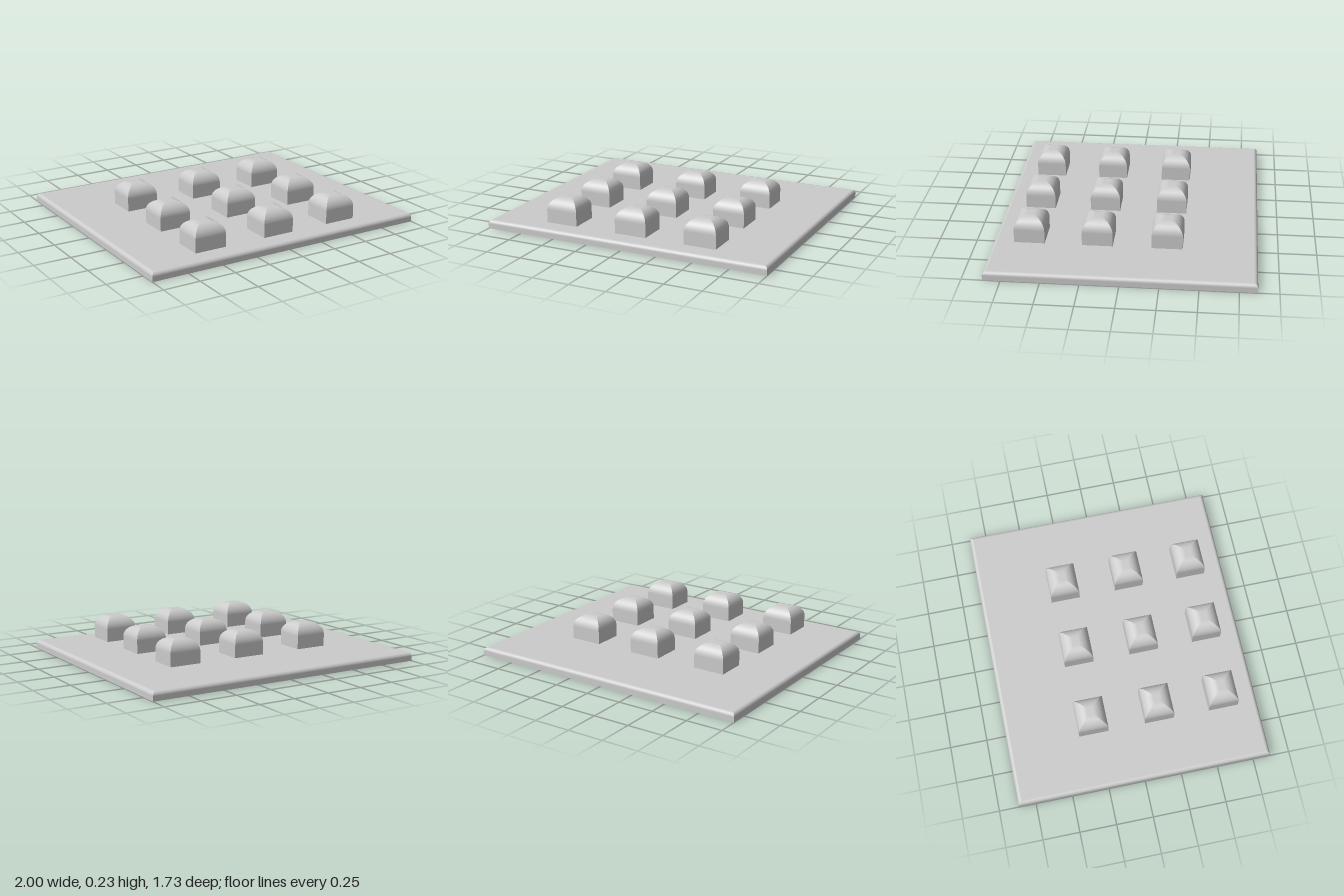
import * as THREE from 'three';

const STEPS = 8;

// Box with a rounded top rim and sharp mitred corners, standing on y = 0.
function paddedBox(width, height, depth, radius) {
  // Profile of one side: [inset, y, angle of the normal]
  const profile = [[0, 0, 0]];
  for (let i = 0; i <= STEPS; i++) {
    const a = (i / STEPS) * Math.PI / 2;
    profile.push([radius * (1 - Math.cos(a)), height - radius * (1 - Math.sin(a)), a]);
  }
  const pos = [], nor = [], idx = [];
  const corners = [[1, 1], [1, -1], [-1, -1], [-1, 1]];
  const corner = (k, inset, y) => [
    corners[k % 4][0] * (width / 2 - inset), y, corners[k % 4][1] * (depth / 2 - inset)];

  // Four sides, each with its own smooth normals
  for (let s = 0; s < 4; s++) {
    const nx = [1, 0, -1, 0][s], nz = [0, -1, 0, 1][s];
    const start = pos.length / 3;
    profile.forEach(([inset, y, a], i) => {
      for (const k of [s, s + 1]) {
        pos.push(...corner(k, inset, y));
        nor.push(nx * Math.cos(a), Math.sin(a), nz * Math.cos(a));
      }
      if (i > 0) {
        const b = start + (i - 1) * 2;
        idx.push(b, b + 1, b + 3, b, b + 3, b + 2);
      }
    });
  }

  // Flat top and underside
  for (const [inset, y, up] of [[radius, height, 1], [0, 0, -1]]) {
    const b = pos.length / 3;
    for (let k = 0; k < 4; k++) {
      pos.push(...corner(k, inset, y));
      nor.push(0, up, 0);
    }
    if (up > 0) idx.push(b, b + 1, b + 2, b, b + 2, b + 3);
    else idx.push(b, b + 2, b + 1, b, b + 3, b + 2);
  }

  const geometry = new THREE.BufferGeometry();
  geometry.setAttribute('position', new THREE.Float32BufferAttribute(pos, 3));
  geometry.setAttribute('normal', new THREE.Float32BufferAttribute(nor, 3));
  geometry.setIndex(idx);
  return geometry;
}

export function createModel() {
  const model = new THREE.Group();
  model.name = 'buttonPanel';
  const material = new THREE.MeshStandardMaterial({ color: 0xcccccc });
  const plateHeight = 0.058;

  // Base plate
  const plate = new THREE.Mesh(paddedBox(2, plateHeight, 1.73, 0.025), material);
  plate.name = 'basePlate';
  model.add(plate);

  // Three by three grid of domed buttons, set toward the front
  const buttonGeometry = paddedBox(0.222, 0.169, 0.203, 0.08);
  const buttons = new THREE.Group();
  buttons.name = 'buttons';
  for (const z of [-0.276, 0.18, 0.628]) {
    for (const x of [-0.51, 0, 0.492]) {
      const button = new THREE.Mesh(buttonGeometry, material);
      button.name = 'button';
      button.position.set(x, plateHeight, z);
      buttons.add(button);
    }
  }
  model.add(buttons);
  return model;
}
